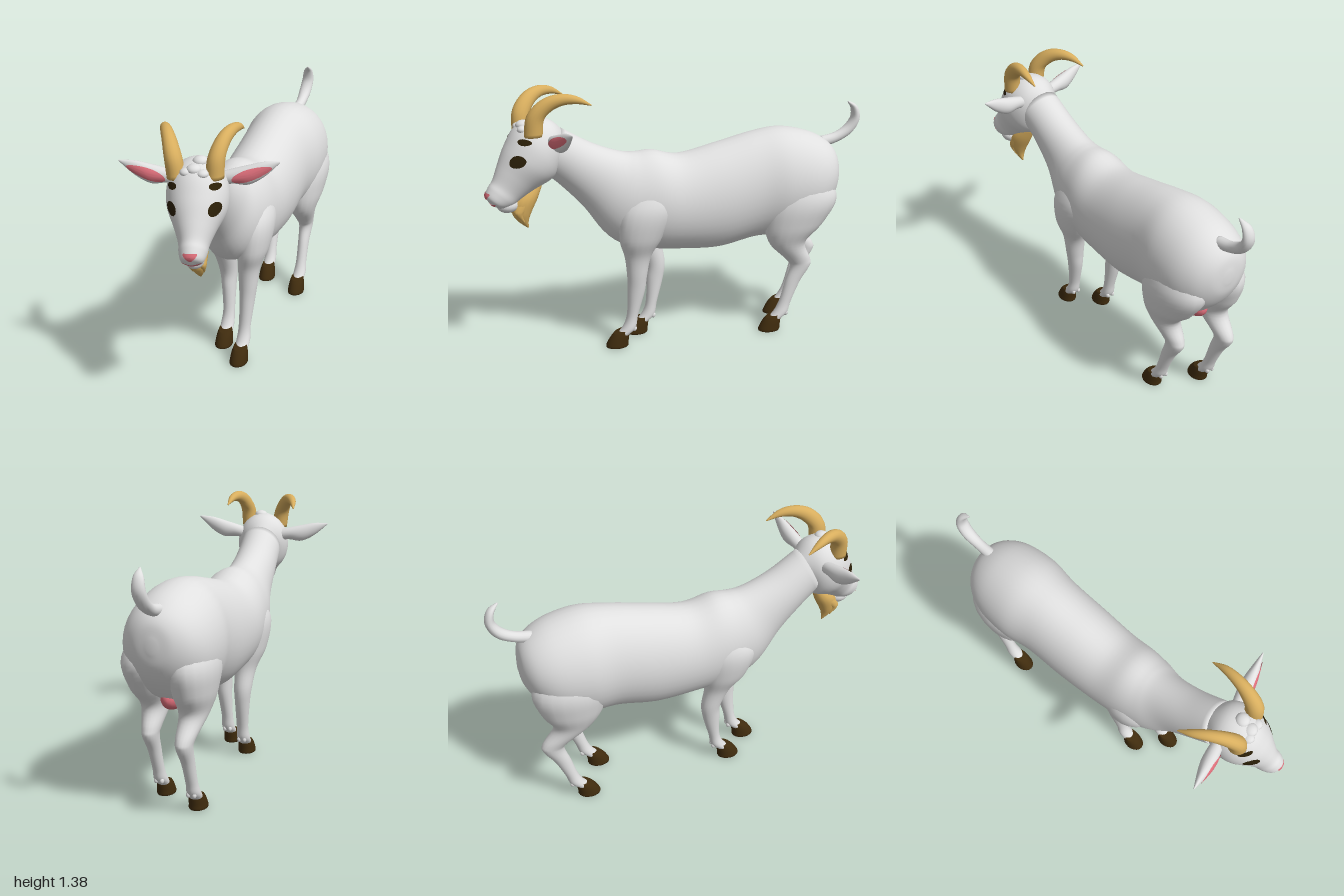
import * as THREE from 'three';

const mat = (name, color, side = THREE.FrontSide) => {
  const m = new THREE.MeshStandardMaterial({ color, side });
  m.name = name;
  return m;
};

// Smooth skin over elliptical sections [x, y, z, halfWidth, halfHeight, tiltDegrees].
// Tilt 0 faces +z, 90 faces down, -90 faces up, -180 faces -z.
function loft(rings, steps = 6, segs = 24) {
  const spline = (f) => new THREE.CatmullRomCurve3(rings.map(f), false, 'catmullrom', 0.5);
  const centres = spline((r) => new THREE.Vector3(r[0], r[1], r[2]));
  const sizes = spline((r) => new THREE.Vector3(r[3], r[4], THREE.MathUtils.degToRad(r[5] || 0)));
  const n = (rings.length - 1) * steps, pos = [], idx = [];
  for (let i = 0; i <= n; i++) {
    const c = centres.getPoint(i / n), s = sizes.getPoint(i / n);
    const rx = Math.max(s.x, 0.002), ry = Math.max(s.y, 0.002);
    for (let j = 0; j < segs; j++) {
      const a = (j / segs) * Math.PI * 2, v = ry * Math.sin(a);
      pos.push(c.x + rx * Math.cos(a), c.y + v * Math.cos(s.z), c.z + v * Math.sin(s.z));
      const k = (j + 1) % segs, p = i * segs;
      if (i < n) idx.push(p + j, p + k, p + segs + k, p + j, p + segs + k, p + segs + j);
    }
  }
  // end caps
  const first = pos.length / 3, last = n * segs;
  for (const u of [0, 1]) pos.push(...centres.getPoint(u).toArray());
  for (let j = 0; j < segs; j++) {
    const k = (j + 1) % segs;
    idx.push(first, k, j, first + 1, last + j, last + k);
  }
  const g = new THREE.BufferGeometry();
  g.setAttribute('position', new THREE.Float32BufferAttribute(pos, 3));
  g.setIndex(idx);
  g.computeVertexNormals();
  return g;
}

// Thin painted patch: a unit disc reshaped by a rule, then laid on the front of a mesh.
function patch(target, rule) {
  const g = new THREE.RingGeometry(0, 1, 28, 5), p = g.attributes.position;
  const ray = new THREE.Raycaster();
  let z = 0;
  for (let i = 0; i < p.count; i++) {
    const [x, y] = rule(p.getX(i), p.getY(i));
    ray.set(new THREE.Vector3(x, y, 3), new THREE.Vector3(0, 0, -1));
    const hit = ray.intersectObject(target)[0];
    if (hit) z = hit.point.z;
    p.setXYZ(i, x, y, z + 0.004);
  }
  g.computeVertexNormals();
  return g;
}

export function createModel() {
  const coat = mat('white coat', 0xe0e0e0);
  const horn = mat('tan horn', 0xd8ae5e);
  const hoofBrown = mat('hoof brown', 0x402c0e);
  const eyeDark = mat('dark eye', 0x2c2008, THREE.DoubleSide);
  const pink = mat('pink skin', 0xe0707c, THREE.DoubleSide);

  const goat = new THREE.Group();
  goat.name = 'goat';
  const add = (parent, name, geo, material) => {
    const m = new THREE.Mesh(geo, material);
    m.name = name;
    parent.add(m);
    return m;
  };
  const blob = (parent, name, material, p, s) => {
    const m = add(parent, name, new THREE.SphereGeometry(1, 18, 12), material);
    m.position.set(...p);
    m.scale.set(...s);
    return m;
  };

  // Trunk and neck
  add(goat, 'body', loft([
    [-0.01, 0.85, -0.872, 0.02, 0.03],
    [-0.01, 0.85, -0.855, 0.10, 0.11],
    [-0.01, 0.835, -0.80, 0.17, 0.185],
    [-0.01, 0.815, -0.70, 0.215, 0.255],
    [-0.012, 0.81, -0.55, 0.225, 0.29],
    [-0.012, 0.80, -0.40, 0.202, 0.285],
    [-0.01, 0.76, -0.20, 0.198, 0.28],
    [-0.01, 0.745, 0.0, 0.19, 0.255],
    [-0.01, 0.77, 0.15, 0.183, 0.26, -3],
    [-0.01, 0.80, 0.29, 0.16, 0.235, -15],
    [-0.01, 0.895, 0.40, 0.125, 0.17, -34],
    [-0.005, 0.995, 0.54, 0.112, 0.13, -40],
    [0.005, 1.08, 0.66, 0.11, 0.115, -25],
  ], 6, 36), coat);

  add(goat, 'tail', loft([
    [-0.01, 1.0, -0.78, 0.03, 0.03, -175],
    [-0.01, 1.02, -0.87, 0.028, 0.027, -165],
    [-0.01, 1.06, -0.94, 0.033, 0.027, -140],
    [-0.005, 1.12, -0.976, 0.033, 0.024, -100],
    [0, 1.18, -0.965, 0.025, 0.018, -80],
    [0.01, 1.213, -0.925, 0.004, 0.004, -30],
  ], 6, 16), coat);

  blob(goat, 'udder', pink, [-0.01, 0.56, -0.62], [0.055, 0.065, 0.11]);

  // Legs: sections [x, y, z, halfWidth, halfDepth], shifted back on one side for the stance
  const foreLeg = [
    [0.10, 0.90, 0.16, 0.03, 0.05], [0.115, 0.76, 0.19, 0.078, 0.14],
    [0.105, 0.61, 0.23, 0.075, 0.115], [0.085, 0.50, 0.245, 0.056, 0.07],
    [0.08, 0.39, 0.25, 0.046, 0.052], [0.076, 0.30, 0.255, 0.038, 0.045],
    [0.07, 0.17, 0.275, 0.031, 0.03], [0.07, 0.10, 0.295, 0.035, 0.036],
    [0.068, 0.06, 0.335, 0.034, 0.038],
  ];
  const hindLeg = [
    [0.09, 0.95, -0.62, 0.04, 0.06], [0.11, 0.76, -0.64, 0.115, 0.19],
    [0.118, 0.61, -0.60, 0.10, 0.165], [0.115, 0.50, -0.565, 0.07, 0.10],
    [0.11, 0.40, -0.63, 0.046, 0.068], [0.11, 0.355, -0.645, 0.038, 0.056],
    [0.11, 0.27, -0.605, 0.031, 0.042], [0.11, 0.16, -0.565, 0.029, 0.033],
    [0.11, 0.10, -0.54, 0.034, 0.038], [0.108, 0.06, -0.50, 0.034, 0.038],
  ];
  function leg(name, sections, side, back) {
    const rings = sections.map(([x, y, z, rx, rz]) =>
      [side * x - 0.006, y, z - back * THREE.MathUtils.clamp((0.72 - y) / 0.3, 0, 1), rx, rz, 90]);
    const group = new THREE.Group();
    group.name = name;
    goat.add(group);
    add(group, 'limb', loft(rings, 6, 20), coat);
    const [x, , z] = rings[rings.length - 1];
    add(group, 'hoof', loft([
      [x, 0.085, z, 0.033, 0.04, 105], [x, 0.06, z + 0.008, 0.04, 0.049, 95],
      [x, 0.025, z + 0.02, 0.044, 0.056, 90], [x, 0.001, z + 0.025, 0.044, 0.058, 90],
      [x, 0, z + 0.025, 0.02, 0.03, 90],
    ], 3, 20), hoofBrown);
    for (const d of [-0.015, 0.015])
      blob(group, 'dewclaw', coat, [x + d, 0.095, z - 0.065], [0.011, 0.016, 0.014]);
  }
  leg('leftForeleg', foreLeg, 1, 0);
  leg('rightForeleg', foreLeg, -1, 0.14);
  leg('leftHindLeg', hindLeg, 1, 0);
  leg('rightHindLeg', hindLeg, -1, 0.11);

  // Head, turned slightly to its left around the top of the neck
  const pivot = new THREE.Group(), head = new THREE.Group();
  pivot.name = 'headPivot';
  head.name = 'head';
  pivot.position.set(0.012, 1.08, 0.70);
  pivot.rotation.set(0, 0.21, 0.04);
  head.position.set(0, -1.08, -0.70);
  pivot.add(head);
  goat.add(pivot);

  const skull = add(head, 'skull', loft([
    [0, 1.12, 0.58, 0.03, 0.03, 0], [0, 1.12, 0.655, 0.112, 0.118, 10],
    [0, 1.09, 0.73, 0.14, 0.155, 30], [0, 1.025, 0.788, 0.133, 0.14, 45],
    [0, 0.96, 0.85, 0.095, 0.108, 50], [0, 0.908, 0.897, 0.069, 0.085, 50],
    [0, 0.878, 0.933, 0.062, 0.075, 45], [0, 0.855, 0.967, 0.047, 0.052, 45],
    [0, 0.845, 0.978, 0.012, 0.015, 45],
  ], 6, 36), coat);
  blob(head, 'chin', coat, [0, 0.83, 0.895], [0.043, 0.038, 0.055]);
  for (const [x, y, z, r] of [[0, 1.215, 0.795, 0.035], [0.04, 1.2, 0.81, 0.028],
    [-0.035, 1.205, 0.805, 0.028], [0.02, 1.235, 0.745, 0.035]])
    blob(head, 'forelock', coat, [x, y, z], [r, r * 0.7, r]);

  // Nose and mouth
  add(head, 'nose', patch(skull, (x, y) =>
    [x * (0.028 + 0.018 * y), 0.893 + y * 0.024 - (y > 0 ? 0.008 * (1 - x * x) : 0)]), pink);
  add(head, 'mouth', patch(skull, (x, y) => [x * 0.045, 0.84 + 0.014 * x * x + y * 0.006]), pink);

  for (const s of [-1, 1]) {
    const side = s > 0 ? 'left' : 'right';
    // Eye and brow spot
    add(head, side + 'Eye', patch(skull, (x, y) => [s * 0.096 + x * 0.026, 1.06 + y * 0.03]), eyeDark);
    add(head, side + 'Brow', patch(skull, (x, y) =>
      [s * 0.095 + x * 0.024, 1.15 + y * 0.014 - s * x * 0.006]), eyeDark);

    // Ear with pink lining
    const earGeo = loft([
      [0, 1.13, 0.08, 0.025, 0.03], [0, 1.145, 0.15, 0.033, 0.034], [0, 1.152, 0.22, 0.034, 0.045],
      [0, 1.178, 0.29, 0.021, 0.035], [0, 1.212, 0.362, 0.003, 0.004],
    ], 6, 20);
    earGeo.rotateY(s * Math.PI / 2).translate(0, 0, 0.69);
    const ear = add(head, side + 'Ear', earGeo, coat);
    add(head, side + 'EarLining', patch(ear, (x, y) =>
      [s * (0.238 + 0.09 * x), 1.163 + 0.026 * x + 0.027 * y * (1 - 0.2 * x)]), pink);

    // Horn sweeping up, back and outward
    add(head, side + 'Horn', loft([
      [s * 0.085, 1.17, 0.775, 0.042, 0.046, -90], [s * 0.096, 1.26, 0.765, 0.04, 0.044, -102],
      [s * 0.118, 1.318, 0.715, 0.035, 0.038, -135], [s * 0.143, 1.343, 0.65, 0.029, 0.029, -165],
      [s * 0.166, 1.338, 0.58, 0.02, 0.019, -188], [s * 0.18, 1.308, 0.51, 0.003, 0.003, -205],
    ], 6, 18), horn);
  }

  // Beard: a main tuft with smaller side locks
  const lock = (dx, dy, dz, k) => loft([
    [dx * 0.2, 0.92, 0.74, 0.025 * k, 0.03 * k, 90], [dx * 0.4, 0.85, 0.80, 0.044 * k, 0.06 * k, 90],
    [dx * 0.7, 0.785 + dy / 2, 0.825 + dz / 2, 0.038 * k, 0.05 * k, 90],
    [dx, 0.74 + dy, 0.822 + dz, 0.024 * k, 0.028 * k, 90],
    [dx, 0.70 + dy, 0.80 + dz, 0.003, 0.004, 90],
  ], 5, 14);
  add(head, 'beard', lock(0, 0, 0, 1), horn);
  add(head, 'beardLock', lock(0.022, 0.035, 0.025, 0.7), horn);
  add(head, 'beardLock', lock(-0.026, 0.04, 0.03, 0.7), horn);

  return goat;
}
